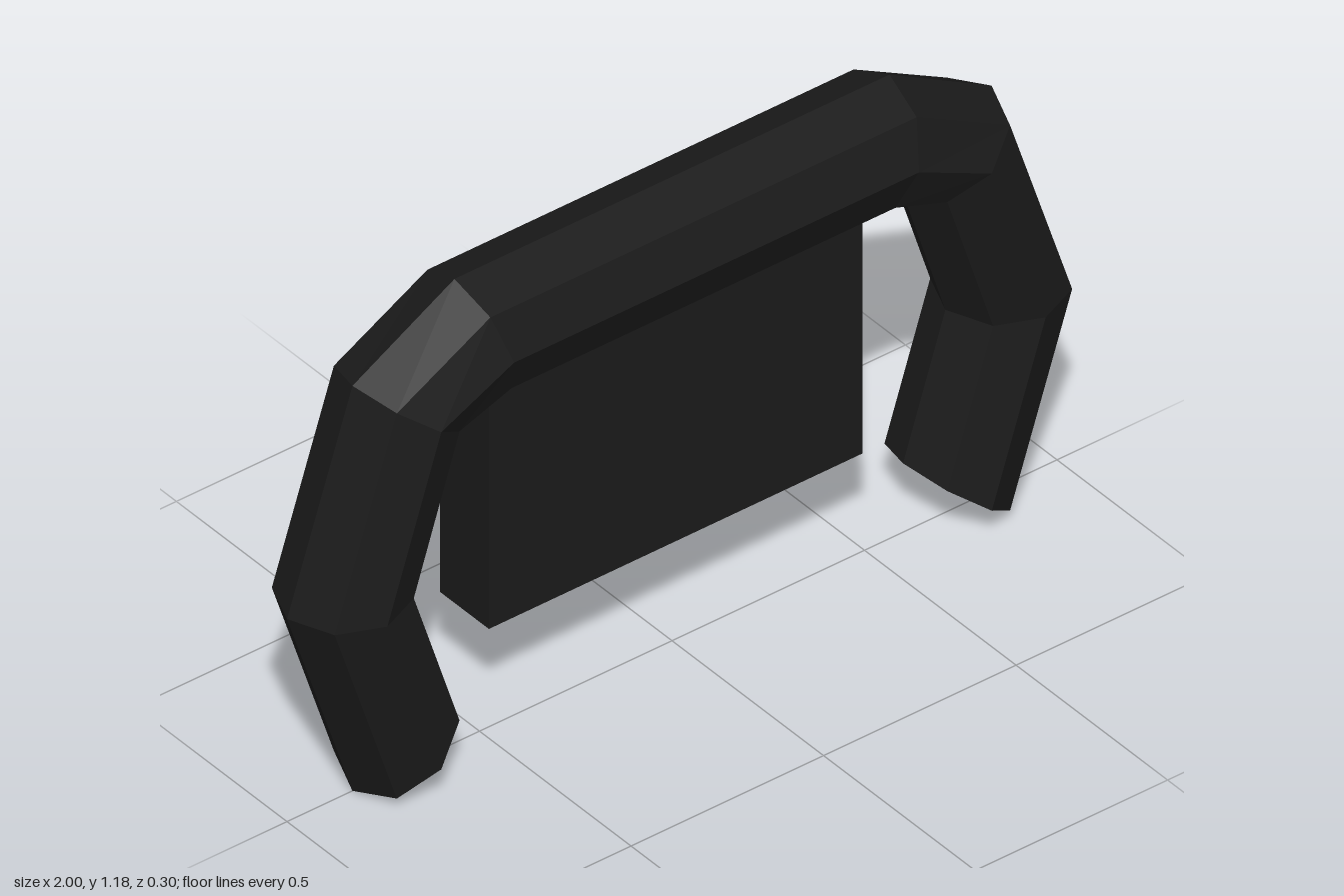
import * as THREE from 'three';

const material = new THREE.MeshStandardMaterial({ color: 0x1a1a1a, flatShading: true });

// Eight-sided tube swept through mitred joints, each given by its outer and inner corner.
function mitredTube(joints, depth, sides = 8) {
  const rings = joints.map(([ox, oy, ix, iy]) =>
    Array.from({ length: sides }, (_, j) => {
      const a = (j / sides) * Math.PI * 2;
      const t = (1 - Math.cos(a)) / 2;
      return [ox + (ix - ox) * t, oy + (iy - oy) * t, depth * Math.sin(a)];
    }));
  const positions = [];
  const tri = (a, b, c) => positions.push(...a, ...b, ...c);

  // side walls
  for (let i = 0; i < rings.length - 1; i++) {
    for (let j = 0; j < sides; j++) {
      const k = (j + 1) % sides;
      tri(rings[i][j], rings[i + 1][j], rings[i + 1][k]);
      tri(rings[i][j], rings[i + 1][k], rings[i][k]);
    }
  }
  // end caps
  const first = rings[0], last = rings[rings.length - 1];
  for (let j = 1; j < sides - 1; j++) {
    tri(first[0], first[j], first[j + 1]);
    tri(last[0], last[j + 1], last[j]);
  }
  const geometry = new THREE.BufferGeometry();
  geometry.setAttribute('position', new THREE.Float32BufferAttribute(positions, 3));
  geometry.computeVertexNormals();
  return geometry;
}

export function createModel() {
  const model = new THREE.Group();
  model.name = 'archedFrame';

  // Arched tube: left half, mirrored to the right
  const half = [
    [0.83, 0, 0.6, 0.175],
    [1.0, 0.515, 0.71, 0.515],
    [0.83, 1.03, 0.6, 0.86],
    [0.565, 1.18, 0.487, 0.89],
  ];
  const mirrored = half.map(([ox, oy, ix, iy]) => [-ox, oy, -ix, iy]).reverse();
  const arch = new THREE.Mesh(mitredTube([...half, ...mirrored], 0.147), material);
  arch.name = 'archTube';
  model.add(arch);

  // Hanging panel: side profile (z, y) extruded across the width, its back tapering into the tube
  const width = 0.97;
  const profile = new THREE.Shape([
    [0.012, 0.26], [0.012, 1.03], [-0.142, 1.04], [-0.15, 0.92], [-0.15, 0.26],
  ].map(([z, y]) => new THREE.Vector2(z, y)));
  const panelGeometry = new THREE.ExtrudeGeometry(profile, { depth: width, bevelEnabled: false });
  panelGeometry.translate(0, 0, -width / 2).rotateY(-Math.PI / 2);
  const panel = new THREE.Mesh(panelGeometry, material);
  panel.name = 'hangingPanel';
  model.add(panel);

  return model;
}
